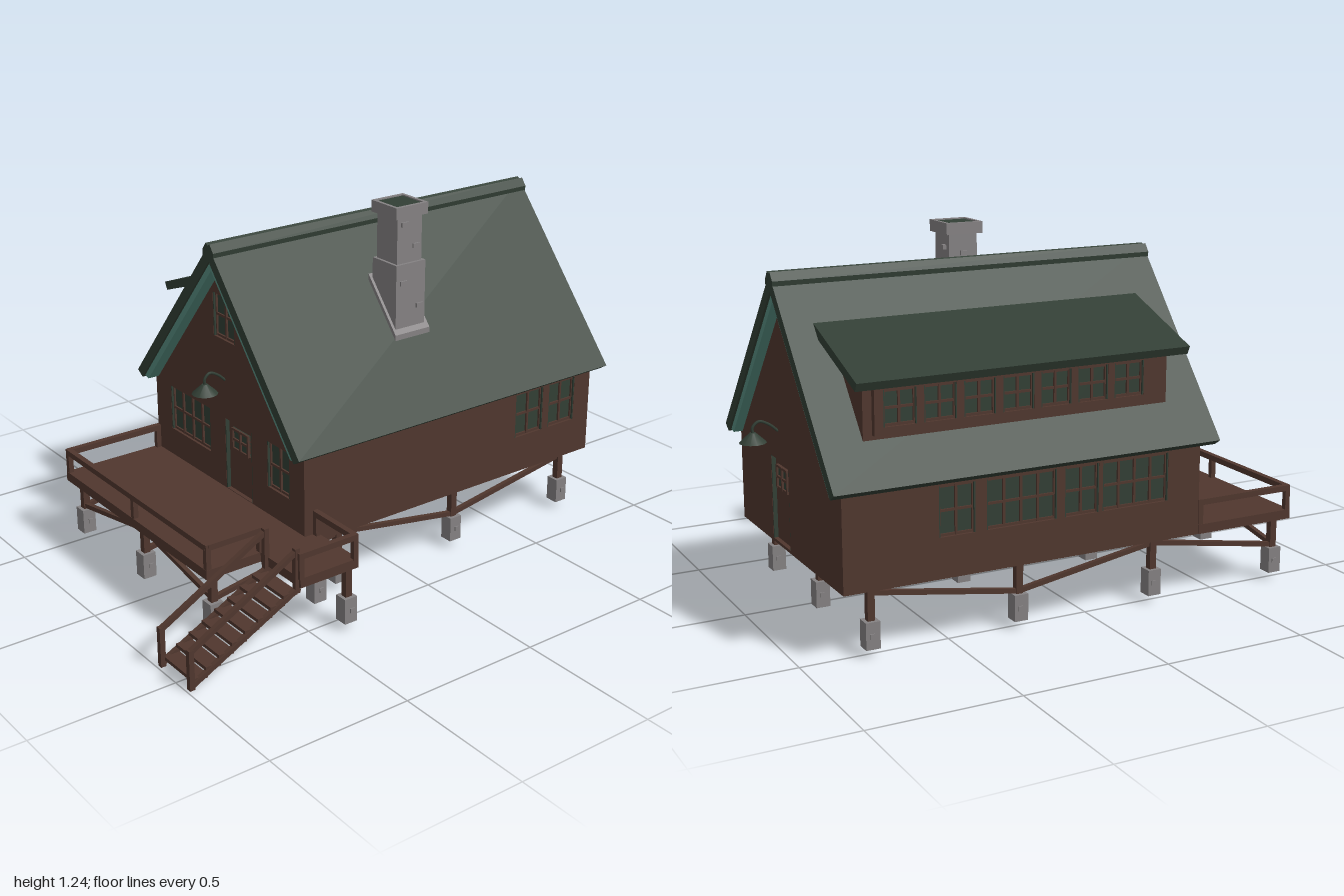
import * as THREE from 'three';

const mat = (name, color) => Object.assign(new THREE.MeshStandardMaterial({ color }), { name });

export function createModel() {
  const wood = mat('brown wood', 0x50372e);
  const green = mat('dark green', 0x323f35);
  const teal = mat('teal trim', 0x578d80);
  const stone = mat('grey stone', 0x858283);

  const model = new THREE.Group();
  model.name = 'cabin';
  const CX = -0.095, FLOOR = 0.22, SLOPE = 1.19;

  const add = (parent, name, geo, material) => {
    const mesh = new THREE.Mesh(geo, material);
    mesh.name = name;
    parent.add(mesh);
    return mesh;
  };
  // Box given by its min and max on each axis
  const box = (parent, name, material, x0, x1, y0, y1, z0, z1) => {
    const m = add(parent, name, new THREE.BoxGeometry(x1 - x0, y1 - y0, z1 - z0), material);
    m.position.set((x0 + x1) / 2, (y0 + y1) / 2, (z0 + z1) / 2);
    return m;
  };
  // Outline in x,y extruded from z0 to z1
  const prism = (parent, name, material, pts, z0, z1, holes = []) => {
    const shape = new THREE.Shape(pts.map(p => new THREE.Vector2(...p)));
    for (const [x0, x1, y0, y1] of holes)
      shape.holes.push(new THREE.Path([[x0, y0], [x0, y1], [x1, y1], [x1, y0]].map(p => new THREE.Vector2(...p))));
    const geo = new THREE.ExtrudeGeometry(shape, { depth: z1 - z0, bevelEnabled: false });
    geo.translate(0, 0, z0);
    return add(parent, name, geo, material);
  };
  // Square timber between two points
  const beam = (parent, name, a, b, t = 0.016) => {
    const A = new THREE.Vector3(...a), B = new THREE.Vector3(...b);
    const m = add(parent, name, new THREE.BoxGeometry(t, t, A.distanceTo(B)), wood);
    m.position.copy(A).add(B).multiplyScalar(0.5);
    m.lookAt(B);
    return m;
  };

  // Wall panel with recessed openings: [x0, x1, y0, y1, columns, rows]; no columns means a door
  const D = 0.02;
  const panel = (name, outline, openings, pos, rotY) => {
    const g = new THREE.Group();
    g.name = name;
    g.position.set(...pos);
    g.rotation.y = rotY;
    model.add(g);
    prism(g, 'wallSkin', wood, outline, 0, D, openings);
    for (const [x0, x1, y0, y1, cols, rows] of openings) {
      const t = 0.004;
      for (const [a, b] of [[x0, x0 + t], [x1 - t, x1]]) box(g, 'jamb', green, a, b, y0, y1, 0, D - 0.001);
      if (cols) pane(g, x0, x1, y0, y1, cols, rows, 0);
      else {
        box(g, 'doorLeaf', wood, x0, x1, y0, y1, 0, 0.005);
        const m = (x0 + x1) / 2;
        pane(g, m - 0.05, m + 0.05, 0.41, 0.49, 2, 2, 0.004);
      }
    }
  };
  // Glass with wooden frame and glazing bars
  const pane = (g, x0, x1, y0, y1, cols, rows, z) => {
    box(g, 'glass', green, x0, x1, y0, y1, z, z + 0.005);
    for (let i = 0; i <= cols; i++) {
      const x = x0 + 0.004 + (x1 - x0 - 0.008) * i / cols;
      box(g, 'glazingBar', wood, x - 0.004, x + 0.004, y0, y1, z, z + 0.012);
    }
    for (let j = 0; j <= rows; j++) {
      const y = y0 + 0.004 + (y1 - y0 - 0.008) * j / rows;
      box(g, 'glazingBar', wood, x0, x1, y - 0.004, y + 0.004, z, z + 0.011);
    }
  };

  // House core and four walls
  const gable = (cx, half, top) => [[cx - half, FLOOR], [cx + half, FLOOR], [cx + half, top - half * SLOPE],
    [cx, top], [cx - half, top - half * SLOPE]];
  prism(model, 'houseCore', wood, gable(CX, 0.4325, 1.08), -0.85, 0.39);
  panel('frontWall', gable(CX, 0.4525, 1.085), [[-0.45, -0.195, 0.355, 0.52, 4, 2], [0.15, 0.275, 0.355, 0.52, 2, 2],
    [-0.155, -0.03, 0.8, 0.955, 2, 2], [-0.1, 0.06, 0.255, 0.515]], [0, 0, 0.39], 0);
  panel('backWall', gable(-CX, 0.4525, 1.085), [[-0.06, 0.1, 0.23, 0.515]], [0, 0, -0.85], Math.PI);
  const side = (a, b) => [[a, FLOOR], [b, FLOOR], [b, 0.543], [a, 0.543]];
  panel('rightWall', side(-0.39, 0.85), [[0.51, 0.64, 0.355, 0.52, 2, 2], [0.67, 0.795, 0.355, 0.52, 2, 2]],
    [0.3375, 0, 0], Math.PI / 2);
  panel('leftWall', side(-0.85, 0.39), [[-0.55, -0.425, 0.355, 0.52, 2, 2], [-0.385, -0.135, 0.355, 0.52, 4, 2],
    [-0.105, 0.02, 0.355, 0.52, 2, 2], [0.035, 0.285, 0.355, 0.52, 4, 2]], [-0.5275, 0, 0], -Math.PI / 2);

  // Main roof slopes, ridge and teal barge boards
  for (const s of [-1, 1]) {
    const pts = l => l.map(([x, y]) => [CX + s * x, y]);
    prism(model, 'roofSlope', green, pts([[0, 1.083], [0.465, 0.53], [0.495, 0.55], [0, 1.138]]), -0.91, 0.46);
    for (const [z0, z1] of [[0.41, 0.452], [-0.902, -0.87]])
      prism(model, 'bargeBoard', teal, pts([[0, 1.05], [0.436, 0.531], [0.462, 0.537], [0, 1.088]]), z0, z1);
    prism(model, 'ridgeCap', green, pts([[0, 1.13], [0.03, 1.1], [0.032, 1.118], [0.012, 1.145], [0, 1.138]]), -0.912, 0.462);
  }

  // Shed dormer on the left slope
  prism(model, 'dormerBody', wood, [[-0.485, 0.66], [-0.18, 0.9], [-0.18, 0.975], [-0.485, 0.87]], -0.77, 0.31);
  prism(model, 'dormerRoof', green, [[-0.54, 0.843], [-0.19, 0.972], [-0.19, 1.004], [-0.553, 0.87]], -0.815, 0.355);
  const dormerWindows = [];
  for (let i = 0; i < 7; i++) dormerWindows.push([-0.71 + i * 0.135, -0.6 + i * 0.135, 0.715, 0.83, 2, 2]);
  panel('dormerWindowBand', [[-0.74, 0.69], [0.24, 0.69], [0.24, 0.855], [-0.74, 0.855]], dormerWindows,
    [-0.485, 0, 0], -Math.PI / 2);

  // Chimney with sloped flashing, protruding stones and open cap
  const chimney = new THREE.Group();
  chimney.name = 'chimney';
  model.add(chimney);
  box(chimney, 'chimneyBase', stone, 0.07, 0.197, 0.8, 1.035, -0.215, -0.09);
  prism(chimney, 'flashing', stone, [[0.06, 0.94], [0.21, 0.765], [0.21, 0.795], [0.06, 0.975]], -0.228, -0.08);
  box(chimney, 'chimneyShaft', stone, 0.08, 0.187, 1.03, 1.2, -0.205, -0.1);
  box(chimney, 'chimneyCap', stone, 0.066, 0.2, 1.195, 1.228, -0.22, -0.085);
  for (const [a, b, c, d] of [[0.066, 0.2, -0.22, -0.208], [0.066, 0.2, -0.097, -0.085],
    [0.066, 0.078, -0.22, -0.085], [0.188, 0.2, -0.22, -0.085]])
    box(chimney, 'capRim', stone, a, b, 1.22, 1.235, c, d);
  box(chimney, 'flueTop', green, 0.078, 0.188, 1.226, 1.231, -0.208, -0.097);
  for (const [x, y, z] of [[0.185, 1.17, -0.13], [0.185, 1.09, -0.18], [0.195, 0.97, -0.12], [0.195, 0.88, -0.19],
    [0.082, 1.13, -0.15], [0.11, 1.15, -0.203], [0.15, 1.08, -0.203], [0.12, 0.99, -0.213]])
    box(chimney, 'protrudingStone', stone, x - 0.008, x + 0.008, y - 0.008, y + 0.008, z - 0.014, z + 0.014);

  // Gooseneck lamps over both doors
  const lamp = (x, y, z, wallZ) => {
    const g = new THREE.Group();
    g.name = 'lamp';
    model.add(g);
    const d = z - wallZ;
    const path = new THREE.CatmullRomCurve3([[wallZ, 0.03], [wallZ + d * 0.35, 0.055], [wallZ + d * 0.75, 0.068],
      [z, 0.05], [z, 0.03]].map(p => new THREE.Vector3(x, y + p[1], p[0])));
    add(g, 'lampArm', new THREE.TubeGeometry(path, 16, 0.005, 6), green);
    const shade = add(g, 'lampShade', new THREE.CylinderGeometry(0.01, 0.045, 0.033, 12), green);
    shade.position.set(x, y + 0.017, z);
  };
  lamp(CX, 0.627, 0.49, 0.41);
  lamp(-0.015, 0.583, -0.955, -0.87);

  // Deck and side landing
  box(model, 'deck', wood, -0.55, 0.36, FLOOR, 0.253, 0.41, 0.79);
  box(model, 'landing', wood, 0.36, 0.578, FLOOR, 0.253, 0.36, 0.585);

  // Railings: top rail and posts
  const R = 0.33;
  const corners = [[-0.54, 0.42], [-0.54, 0.78], [0.35, 0.78], [0.35, 0.58]];
  const landingCorners = [[0.37, 0.37], [0.57, 0.37], [0.57, 0.58]];
  for (const run of [corners, landingCorners])
    for (let i = 0; i + 1 < run.length; i++) {
      const [a, b] = [run[i], run[i + 1]];
      beam(model, 'topRail', [a[0], R, a[1]], [b[0], R, b[1]], 0.02);
    }
  for (const [x, z] of [...corners, ...landingCorners, [CX, 0.78]])
    box(model, 'railPost', wood, x - 0.009, x + 0.009, 0.25, 0.34, z - 0.009, z + 0.009);

  // Stairs with handrails
  for (const x of [0.393, 0.56]) {
    beam(model, 'stringer', [x, 0.215, 0.58], [x, 0.012, 0.98]);
    beam(model, 'handrail', [x, 0.345, 0.585], [x, 0.128, 0.985]);
    box(model, 'newelPost', wood, x - 0.009, x + 0.009, 0, 0.138, 0.973, 0.991);
    box(model, 'newelPost', wood, x - 0.009, x + 0.009, 0.2, 0.355, 0.58, 0.598);
  }
  for (let i = 0; i < 8; i++) {
    const y = 0.028 + i * 0.0245, z = 0.95 - i * 0.048;
    box(model, 'tread', wood, 0.39, 0.563, y - 0.006, y + 0.006, z - 0.027, z + 0.027);
  }

  // Foundation piers with stone footings and diagonal braces
  const xs = [-0.51, CX, 0.32], zs = [0.745, 0.25, -0.255, -0.77];
  const piers = [[0.385, 0.385], [0.55, 0.385]];
  for (const x of xs) for (const z of zs) piers.push([x, z]);
  for (const [x, z] of piers) {
    box(model, 'footing', stone, x - 0.024, x + 0.024, 0.026, 0.115, z - 0.024, z + 0.024);
    box(model, 'footingStone', stone, x - 0.028, x + 0.028, 0.062, 0.078, z - 0.012, z + 0.004);
    box(model, 'pier', wood, x - 0.012, x + 0.012, 0.11, 0.225, z - 0.012, z + 0.012);
  }
  for (const x of xs)
    for (let i = 0; i < 3; i++)
      beam(model, 'brace', [x, i % 2 ? 0.205 : 0.122, zs[i]], [x, i % 2 ? 0.122 : 0.205, zs[i + 1]]);
  for (const x of [xs[0], xs[2]]) beam(model, 'brace', [x, 0.125, 0.745], [CX, 0.2, 0.745]);

  return model;
}
